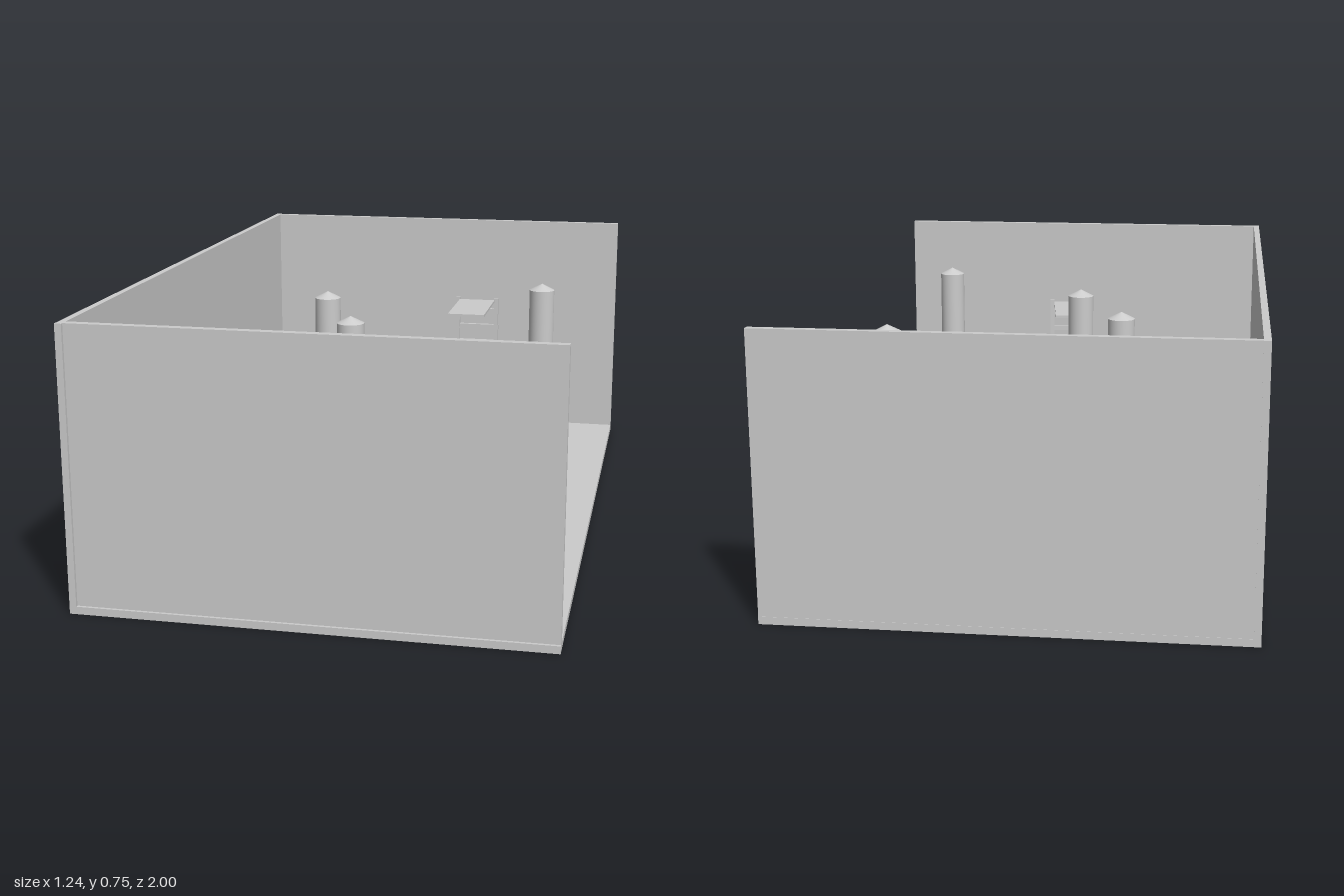
import * as THREE from 'three';

const material = new THREE.MeshStandardMaterial({ color: 0xcccccc });

function add(parent, name, geometry, x, y, z) {
  const mesh = new THREE.Mesh(geometry, material);
  mesh.name = name;
  mesh.position.set(x, y, z);
  parent.add(mesh);
  return mesh;
}

const box = (w, h, d) => new THREE.BoxGeometry(w, h, d);

// Post with a pointed cap and a short round holder on its open-side face
function makePost(x, z) {
  const post = new THREE.Group();
  post.name = 'post';
  add(post, 'postShaft', new THREE.CylinderGeometry(0.039, 0.039, 0.62, 32), 0, 0.31, 0);
  add(post, 'postCap', new THREE.ConeGeometry(0.039, 0.02, 32), 0, 0.63, 0);
  add(post, 'postHolder', new THREE.CylinderGeometry(0.033, 0.033, 0.108, 24), 0.028, 0.306, 0);
  post.position.set(x, 0, z);
  return post;
}

// Raised platform with a ladder at its +z end
function makeLadderPlatform(x, z, angle) {
  const group = new THREE.Group();
  group.name = 'ladderPlatform';
  add(group, 'platform', box(0.122, 0.008, 0.265), 0, 0.489, 0);
  for (const side of [-1, 1]) {
    add(group, 'ladderRail', box(0.014, 0.48, 0.014), side * 0.067, 0.26, 0.134);
  }
  for (let i = 0; i < 8; i++) {
    add(group, 'ladderRung', box(0.15, 0.016, 0.014), 0, 0.062 + i * 0.056, 0.136);
  }
  group.position.set(x, 0, z);
  group.rotation.y = angle;
  return group;
}

export function createModel() {
  const model = new THREE.Group();
  model.name = 'playRoom';

  // Floor and three walls, open towards +x
  add(model, 'floor', box(1.24, 0.02, 2), 0, 0.01, 0);
  add(model, 'sideWall', box(0.018, 0.75, 2), -0.611, 0.375, 0);
  add(model, 'backWall', box(1.238, 0.75, 0.02), 0.001, 0.375, -0.989);
  add(model, 'frontWall', box(1.238, 0.75, 0.022), 0.001, 0.375, 0.981);

  // Scattered posts
  for (const [x, z] of [[0.42, -0.37], [-0.213, -0.112], [-0.06, 0.245], [0.417, 0.62]]) {
    model.add(makePost(x, z));
  }

  // Oval mats: x, z, x radius, z radius, top height
  const mats = [
    [0.345, 0.26, 0.14, 0.168, 0.036],
    [-0.233, -0.585, 0.158, 0.153, 0.029],
    [-0.233, 0.655, 0.15, 0.163, 0.029],
  ];
  for (const [x, z, rx, rz, top] of mats) {
    const height = top - 0.015;
    const mat = add(model, 'floorMat', new THREE.CylinderGeometry(1, 1, height, 48), x, top - height / 2, z);
    mat.scale.set(rx, 1, rz);
  }

  // Shelves on the side wall
  for (const [y, z] of [[0.29, -0.42], [0.35, 0.01], [0.227, 0.335]]) {
    add(model, 'wallShelf', box(0.25, 0.007, 0.125), -0.483, y, z);
  }

  // Ladder platforms near the two end walls
  model.add(makeLadderPlatform(0.15, -0.688, Math.PI));
  model.add(makeLadderPlatform(0.013, 0.7, 0.135));

  return model;
}
